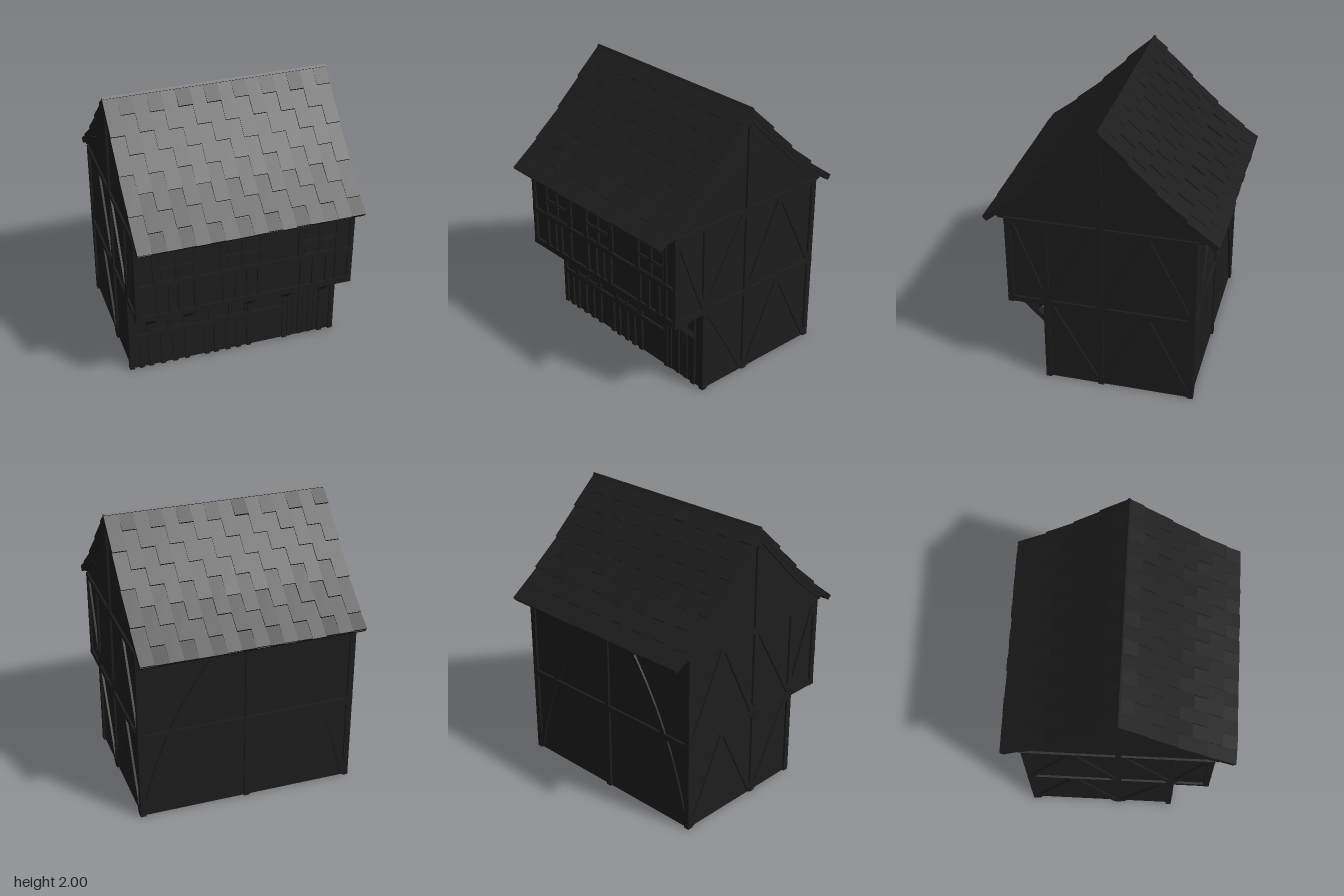
import * as THREE from 'three';

const timberMat = new THREE.MeshStandardMaterial({ color: 0x1c1c1c, flatShading: true });

function add(parent, geometry, name) {
  const mesh = new THREE.Mesh(geometry, timberMat);
  mesh.name = name;
  parent.add(mesh);
  return mesh;
}

function makeGroup(parent, name) {
  const g = new THREE.Group();
  g.name = name;
  parent.add(g);
  return g;
}

const toShape = pts => new THREE.Shape(pts.map(p => new THREE.Vector2(...p)));

// Extrude a (z, y) side profile along x, centred on x
function sideExtrude(pts, width, x = 0) {
  const g = new THREE.ExtrudeGeometry(toShape(pts), { depth: width, bevelEnabled: false });
  return g.translate(0, 0, -width / 2).rotateY(-Math.PI / 2).translate(x, 0, 0);
}

// Straight timber lying on a wall's local xy plane
function beam(wall, x1, y1, x2, y2, w = 0.035, d = 0.015, name = 'timber') {
  const len = Math.hypot(x2 - x1, y2 - y1);
  const m = add(wall, new THREE.BoxGeometry(len, w, d + 0.01), name);
  m.position.set((x1 + x2) / 2, (y1 + y2) / 2, (d - 0.01) / 2);
  m.rotation.z = Math.atan2(y2 - y1, x2 - x1);
  return m;
}

// Six-light window with an inset pane in every opening
function windowUnit(wall, x, y, w = 0.27, h = 0.36) {
  const g = makeGroup(wall, 'window');
  g.position.set(x, y, 0);
  const frame = toShape([[-w / 2, 0], [w / 2, 0], [w / 2, h], [-w / 2, h]]);
  const b = 0.016, pw = (w - 3 * b) / 2, ph = (h - 4 * b) / 3;
  for (let c = 0; c < 2; c++) for (let r = 0; r < 3; r++) {
    const x0 = -w / 2 + b + c * (pw + b), y0 = b + r * (ph + b);
    frame.holes.push(new THREE.Path([[x0, y0], [x0, y0 + ph], [x0 + pw, y0 + ph], [x0 + pw, y0]]
      .map(p => new THREE.Vector2(...p))));
    add(g, new THREE.BoxGeometry(pw - 0.02, ph - 0.02, 0.01), 'pane').position.set(x0 + pw / 2, y0 + ph / 2, 0);
  }
  add(g, new THREE.ExtrudeGeometry(frame, { depth: 0.013, bevelEnabled: false }), 'windowFrame');
}

// Flared roof line, eave to ridge, as (z, y)
const roofLine = [[0.79, 1.258], [0.455, 1.532], [0.26, 1.728], [0, 1.99]];
const roofUnder = [[0.77, 1.238], [0.435, 1.505], [0.24, 1.7], [0, 1.942]];
const mirror = pts => pts.slice(0, -1).reverse().map(([z, y]) => [-z, y]);

function buildRoof(house) {
  const roof = makeGroup(house, 'roof');
  const outer = [...roofLine, ...mirror(roofLine)];
  const inner = [...roofUnder, ...mirror(roofUnder)].reverse();
  add(roof, sideExtrude([...outer, ...inner], 1.57), 'roofSlab');

  const path = new THREE.CurvePath();
  for (let i = 0; i < 3; i++) {
    path.add(new THREE.LineCurve(new THREE.Vector2(...roofLine[i]), new THREE.Vector2(...roofLine[i + 1])));
  }
  let seed = 7;
  const rnd = () => (seed = (seed * 16807) % 2147483647) / 2147483647 - 0.5;

  // Staggered columns of shingles, each two courses long
  const cols = 16, rows = 8, cw = 1.57 / cols;
  for (const turn of [0, Math.PI]) {
    const slope = makeGroup(roof, 'shingles');
    slope.rotation.y = turn;
    for (let c = 0; c < cols; c++) {
      for (let r = -(c % 2); r < rows; r += 2) {
        const s0 = Math.max(0, r / rows + (r > 0 ? rnd() * 0.012 : 0));
        const a = path.getPoint(s0), b = path.getPoint(Math.min(1, (r + 2) / rows));
        const dir = b.clone().sub(a).normalize();
        const lift = 0.013 + rnd() * 0.005;
        a.add(new THREE.Vector2(dir.y, -dir.x).multiplyScalar(lift));
        if (r <= 0) a.addScaledVector(dir, rnd() * 0.008);
        const t = b.clone().sub(a), len = t.length();
        const tile = add(slope, new THREE.BoxGeometry(cw, 0.018, len), 'shingle');
        const angle = Math.atan2(t.y, -t.x);
        tile.rotation.x = angle;
        tile.position.set(-0.785 + cw * (c + 0.5), (a.y + b.y) / 2 - Math.cos(angle) * 0.009,
          (a.x + b.x) / 2 - Math.sin(angle) * 0.009);
      }
    }
  }
  const ridge = add(roof, new THREE.CylinderGeometry(0.012, 0.012, 1.57, 4), 'ridge');
  ridge.rotation.z = Math.PI / 2;
  ridge.position.y = 1.988;
}

function buildFront(house) {
  // Jettied upper storey
  const upper = makeGroup(house, 'upperFront');
  upper.position.z = 0.635;
  for (const [y, w] of [[0.635, 0.045], [0.893, 0.03], [1.25, 0.03]]) beam(upper, -0.78, y, 0.78, y, w, 0.017, 'rail');
  for (const x of [-0.762, -0.62, -0.53, -0.46, -0.35, -0.15, -0.06, 0.02, 0.1, 0.41, 0.5, 0.6, 0.67, 0.762]) {
    beam(upper, x, 0.655, x, 0.885, 0.035, 0.015, 'stud');
  }
  for (const x of [-0.762, -0.64, -0.34, -0.17, 0.12, 0.39, 0.67, 0.762]) beam(upper, x, 0.9, x, 1.27, 0.03, 0.012, 'post');
  for (const x of [-0.49, -0.025, 0.53]) windowUnit(upper, x, 0.9);

  // Ground floor
  const lower = makeGroup(house, 'lowerFront');
  lower.position.z = 0.385;
  beam(lower, -0.78, 0.285, 0.39, 0.285, 0.032, 0.017, 'rail');
  for (const x of [-0.762, -0.69, -0.62, -0.53, -0.44, -0.35, -0.2, -0.13, -0.04, 0.04, 0.12]) {
    beam(lower, x, 0, x, 0.27, 0.035, 0.015, 'stud');
  }
  for (const x of [-0.762, -0.63, -0.35, -0.17, 0.12]) beam(lower, x, 0.3, x, 0.61, 0.03, 0.012, 'post');
  for (const x of [-0.49, -0.03]) windowUnit(lower, x, 0.3, 0.26, 0.34);

  // Plank door with frame
  beam(lower, 0.13, 0.505, 0.69, 0.505, 0.035, 0.015, 'lintel');
  for (const x of [0.395, 0.675, 0.762]) beam(lower, x, 0, x, 0.61, 0.035, 0.015, 'doorPost');
  for (let i = 0; i < 6; i++) {
    const x = 0.435 + i * 0.04;
    beam(lower, x, 0.005, x, 0.48, 0.033, i % 2 ? 0.006 : 0.011, 'doorPlank');
  }

  // Brackets carrying the jetty
  for (const x of [-0.625, -0.35, 0.11, 0.39, 0.67]) {
    const bracket = makeGroup(house, 'bracket');
    add(bracket, sideExtrude([[0.385, 0.38], [0.4, 0.385], [0.63, 0.615], [0.58, 0.615], [0.385, 0.425]], 0.055, x), 'strut');
    add(bracket, sideExtrude([[0.39, 0.585], [0.495, 0.485], [0.515, 0.52], [0.42, 0.615], [0.39, 0.615]], 0.045, x), 'brace');
  }
}

function buildSide(house, sign) {
  const side = makeGroup(house, sign > 0 ? 'leftSide' : 'rightSide');
  side.position.x = sign * 0.765;
  side.rotation.y = sign * Math.PI / 2;
  // Timbers given as z, y pairs
  const t = (z1, y1, z2, y2, w, name) => beam(side, -sign * z1, y1, -sign * z2, y2, w, 0.015, name);
  t(-0.655, 0.635, 0.65, 0.635, 0.04, 'rail');
  t(-0.655, 1.265, 0.65, 1.265, 0.035, 'rail');
  t(0, 0, 0, 1.93, 0.04, 'centrePost');
  t(-0.635, 0, -0.635, 1.27, 0.04, 'cornerPost');
  t(0.38, 0, 0.38, 1.27, 0.04, 'post');
  t(0.63, 0.61, 0.63, 1.27, 0.04, 'cornerPost');
  for (const y of [0.015, 0.655]) {
    t(-0.02, y, -0.31, y + 0.6, 0.035, 'brace');
    t(-0.62, y, -0.32, y + 0.6, 0.035, 'brace');
  }
  t(0.02, 0.02, 0.35, 0.62, 0.035, 'brace');
  t(0.37, 0.66, 0.03, 1.25, 0.035, 'brace');
  t(0.39, 0.66, 0.61, 1.25, 0.035, 'brace');
  // Rafters under the verge
  for (const s of [-1, 1]) for (let i = 0; i < 3; i++) {
    const [a, b] = [roofUnder[i], roofUnder[i + 1]];
    const z0 = i ? a[0] : 0.68, y0 = i ? a[1] : 1.31;
    t(s * z0, y0 - 0.015, s * b[0], b[1] - 0.015, 0.035, 'rafter');
  }
}

function buildBack(house) {
  const back = makeGroup(house, 'back');
  back.position.z = -0.64;
  back.rotation.y = Math.PI;
  beam(back, -0.78, 0.635, 0.78, 0.635, 0.04, 0.017, 'rail');
  beam(back, -0.78, 1.26, 0.78, 1.26, 0.035, 0.015, 'rail');
  for (const x of [-0.76, 0, 0.76]) beam(back, x, 0, x, 1.27, 0.04, 0.015, 'post');
  // Long curved braces rising to the middle
  for (const s of [-1, 1]) {
    const pts = new THREE.QuadraticBezierCurve(new THREE.Vector2(0.74, 0.02),
      new THREE.Vector2(0.6, 0.72), new THREE.Vector2(0.17, 1.25)).getPoints(8);
    const out = pts.map(p => [s * (p.x + 0.018), p.y + 0.01]);
    const inn = pts.map(p => [s * (p.x - 0.018), p.y - 0.01]).reverse();
    add(back, new THREE.ExtrudeGeometry(toShape([...out, ...inn]), { depth: 0.014, bevelEnabled: false }), 'curvedBrace');
  }
}

export function createModel() {
  const house = new THREE.Group();
  house.name = 'timberFramedHouse';
  // Solid plastered body with the overhanging upper floor and gables
  const body = [[-0.64, 0], [0.385, 0], [0.385, 0.612], [0.635, 0.612], [0.635, 1.265], [0.69, 1.265], [0.72, 1.285],
    ...roofUnder.slice(1).map(([z, y]) => [z, y + 0.01]), ...mirror(roofUnder).slice(0, -1).map(([z, y]) => [z, y + 0.01]),
    [-0.72, 1.285], [-0.69, 1.265], [-0.64, 1.265]];
  add(house, sideExtrude(body, 1.53), 'walls');
  buildRoof(house);
  buildFront(house);
  buildSide(house, 1);
  buildSide(house, -1);
  buildBack(house);
  return house;
}
